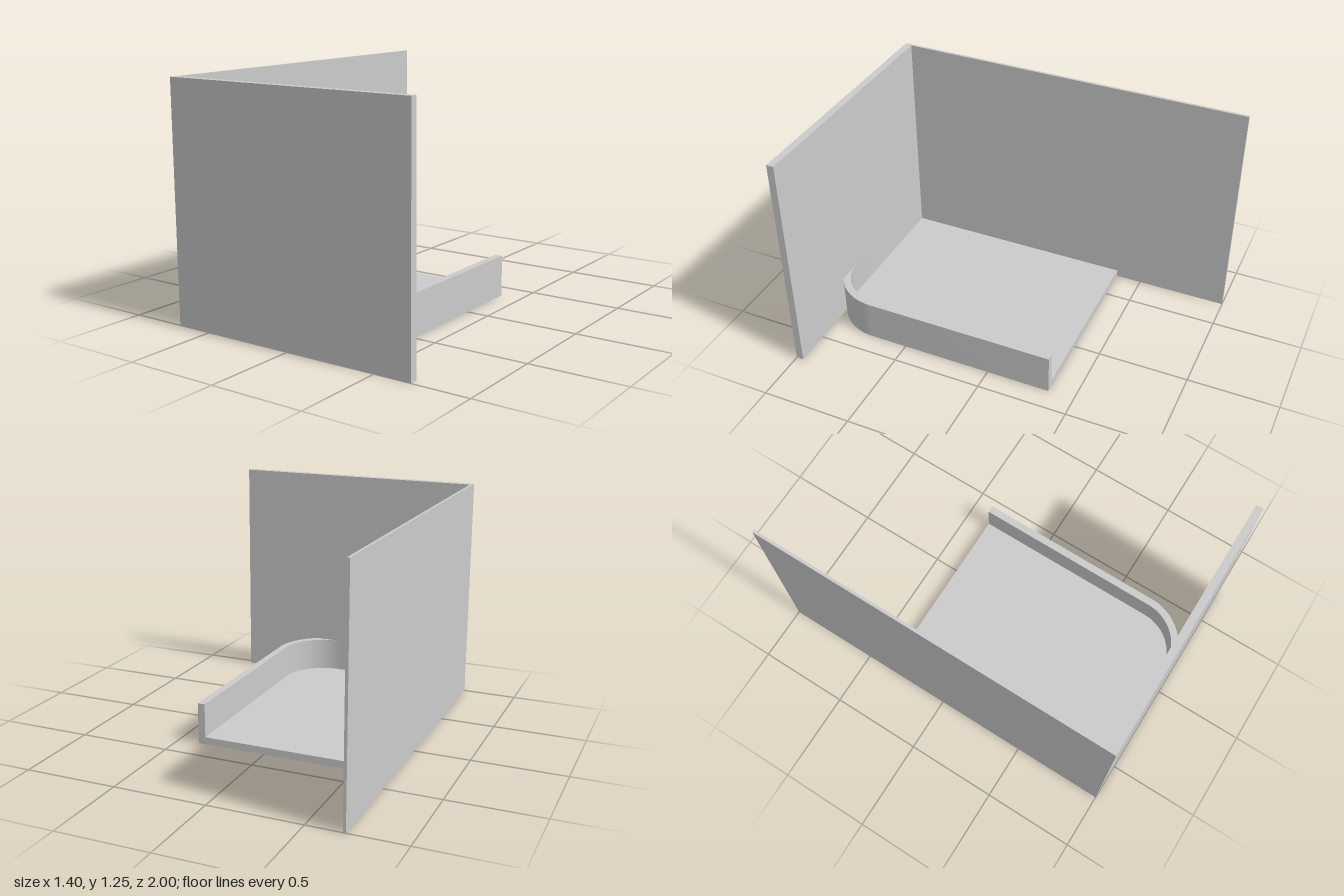
import * as THREE from 'three';
import { toCreasedNormals } from 'three/addons/utils/BufferGeometryUtils.js';

const HEIGHT = 1.25, LEFT = -0.7, INNER = -0.685, BACK = -0.355;
const CX = 0.09, CZ = 0.71; // centre of the rounded corner
const R_OUT = 0.29, R_IN = 0.25;

export function createModel() {
  const group = new THREE.Group();
  const material = new THREE.MeshStandardMaterial({ color: 0xcccccc });

  const add = (name, geometry) => {
    const mesh = new THREE.Mesh(geometry, material);
    mesh.name = name;
    group.add(mesh);
  };
  const box = (name, x0, x1, y0, y1, z0, z1) => {
    const g = new THREE.BoxGeometry(x1 - x0, y1 - y0, z1 - z0);
    g.translate((x0 + x1) / 2, (y0 + y1) / 2, (z0 + z1) / 2);
    add(name, g);
  };
  // Extrudes a plan outline (x, z) between two heights
  const slab = (name, shape, y0, y1) => {
    const g = new THREE.ExtrudeGeometry(shape, { depth: y1 - y0, bevelEnabled: false, curveSegments: 24 });
    g.rotateX(Math.PI / 2).translate(0, y1, 0);
    add(name, toCreasedNormals(g, Math.PI / 6));
  };

  // Upright panels
  box('sideWall', LEFT, INNER, 0, HEIGHT, -1, 1);
  box('frontWall', LEFT, 0.7, 0, HEIGHT, 0.96, 1);

  // Floor with one rounded corner, tucked into the front wall
  const floor = new THREE.Shape();
  floor.moveTo(INNER, BACK);
  floor.lineTo(CX + R_OUT, BACK);
  floor.lineTo(CX + R_OUT, CZ);
  floor.absarc(CX, CZ, R_OUT, 0, Math.PI / 2, false);
  floor.lineTo(INNER, CZ + R_OUT);
  floor.closePath();
  slab('floor', floor, 0, 0.04);

  // Curb following the open edge, round the corner and along the front wall
  const curb = new THREE.Shape();
  curb.moveTo(CX + R_IN, BACK);
  curb.lineTo(CX + R_OUT, BACK);
  curb.lineTo(CX + R_OUT, CZ);
  curb.absarc(CX, CZ, R_OUT, 0, Math.PI / 2, false);
  curb.lineTo(INNER, CZ + R_OUT);
  curb.lineTo(INNER, CZ + R_IN);
  curb.lineTo(CX, CZ + R_IN);
  curb.absarc(CX, CZ, R_IN, Math.PI / 2, 0, true);
  curb.closePath();
  slab('curb', curb, 0.04, 0.225);

  return group;
}
